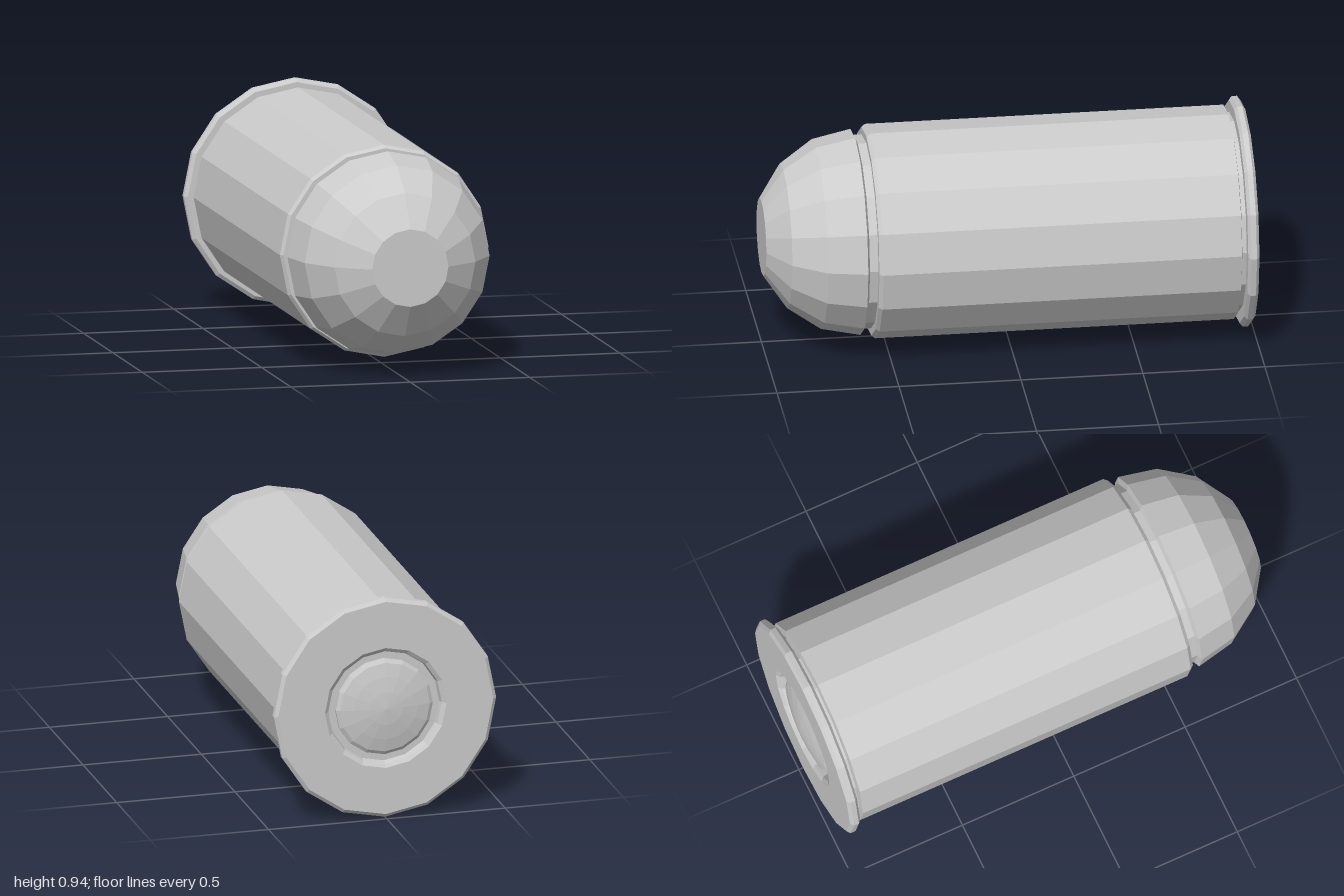
import * as THREE from 'three';

const SIDES = 16;
const AXIS_HEIGHT = 0.47;

// Turn a [radius, z] profile, listed from back to front, around the long axis.
function turned(name, profile) {
  const points = profile.map(([r, z]) => new THREE.Vector2(r, z));
  const geometry = new THREE.LatheGeometry(points, SIDES);
  geometry.rotateX(Math.PI / 2);
  const material = new THREE.MeshStandardMaterial({
    color: 0xcccccc,
    flatShading: true,
    side: THREE.DoubleSide,
  });
  const mesh = new THREE.Mesh(geometry, material);
  mesh.name = name;
  mesh.position.y = AXIS_HEIGHT;
  return mesh;
}

export function createModel() {
  const group = new THREE.Group();
  group.name = 'cartridge';

  // Domed tip with a flat nose and an undercut neck
  group.add(turned('bullet', [
    [0.395, 0.56], [0.395, 0.605], [0.42, 0.615],
    [0.387, 0.775], [0.295, 0.91], [0.16, 1], [0, 1],
  ]));

  // Straight case with a bevelled mouth and a groove before the rim
  group.add(turned('case', [
    [0.405, -0.94], [0.405, -0.92], [0.437, -0.915],
    [0.437, 0.555], [0.425, 0.57], [0.395, 0.57],
  ]));

  // Bevelled rim whose back face holds the stepped primer pocket
  group.add(turned('rim', [
    [0, -0.95], [0.235, -0.95], [0.24, -0.972], [0.257, -0.984],
    [0.455, -0.984], [0.47, -0.972], [0.47, -0.95], [0.455, -0.938],
    [0.4, -0.938],
  ]));

  // Shallow domed primer
  group.add(turned('primer', [
    [0, -1], [0.07, -0.994], [0.135, -0.984], [0.19, -0.972],
    [0.205, -0.962], [0.205, -0.945],
  ]));

  return group;
}
